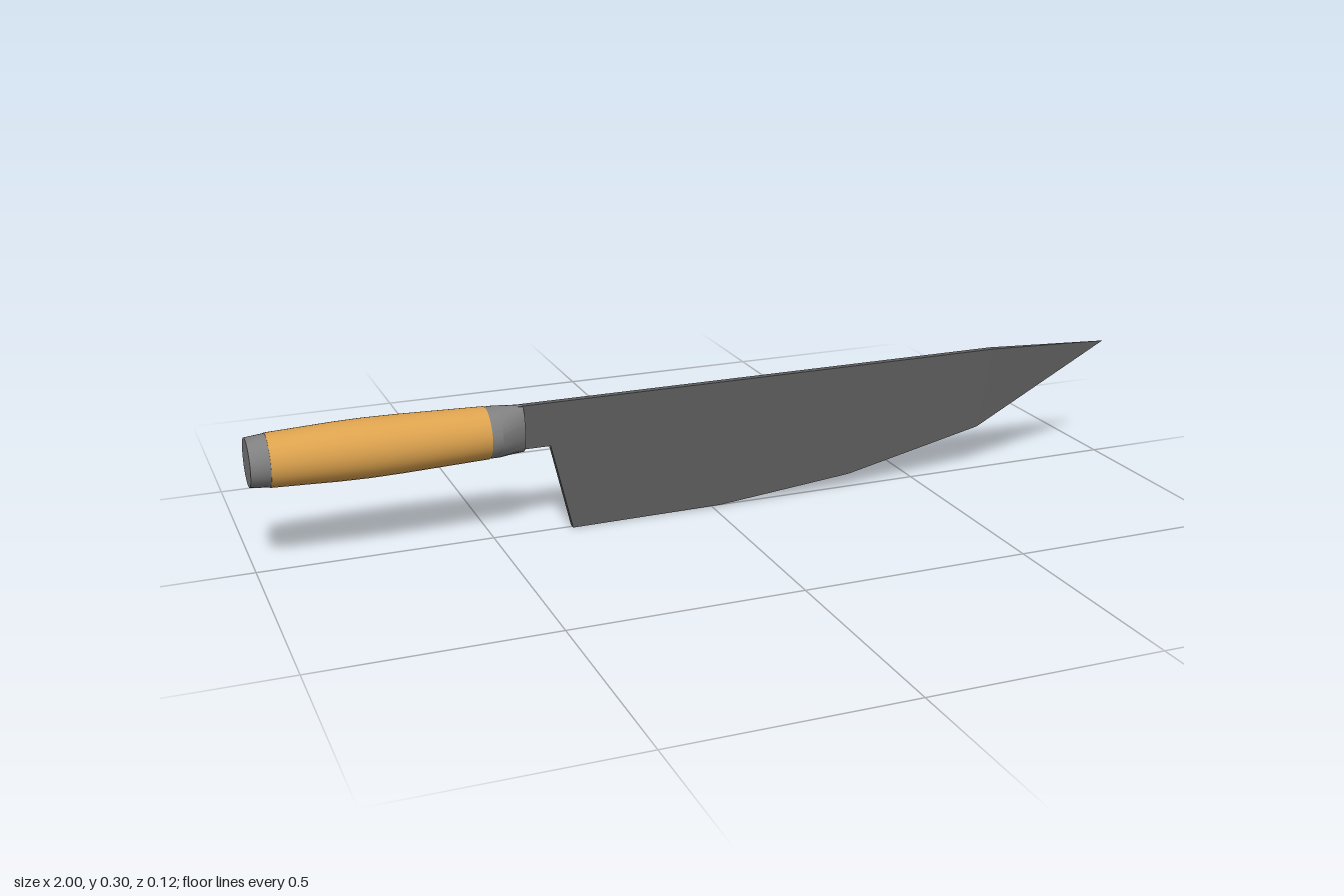
import * as THREE from 'three';
import { toCreasedNormals } from 'three/addons/utils/BufferGeometryUtils.js';

const AXIS_Y = 0.238; // height of the handle's centre line

const steel = new THREE.MeshStandardMaterial({ color: 0x808080 });
const darkSteel = new THREE.MeshStandardMaterial({ color: 0x5c5c5c });
const wood = new THREE.MeshStandardMaterial({ color: 0xdca24e });

function addMesh(group, name, geometry, material) {
  const mesh = new THREE.Mesh(geometry, material);
  mesh.name = name;
  group.add(mesh);
  return mesh;
}

// Move each vertex by a rule that returns its new z
function reshapeZ(geometry, rule) {
  const p = geometry.attributes.position;
  for (let i = 0; i < p.count; i++) p.setZ(i, rule(p.getX(i), p.getZ(i)));
  return geometry;
}

// Round section along x; profile entries are [x, radius]
function turned(profile) {
  const points = profile.map(([x, r]) => new THREE.Vector2(r, x));
  return new THREE.LatheGeometry(points, 32).rotateZ(-Math.PI / 2).translate(0, AXIS_Y, 0);
}

export function createModel() {
  const knife = new THREE.Group();
  knife.name = 'chefKnife';

  // Blade: flat plate with a faceted cutting edge, thinning towards the tip
  const outline = [
    [-0.44, 0.193], [-0.37, 0.193], [-0.325, 0], [0.02, 0.003], [0.335, 0.033],
    [0.665, 0.105], [1, 0.275], [0.7, 0.289], [-0.44, 0.289],
  ].map(([x, y]) => new THREE.Vector2(x, y));
  const half = 0.008;
  const blade = new THREE.ExtrudeGeometry(new THREE.Shape(outline), {
    depth: 2 * half, bevelEnabled: false,
  }).translate(0, 0, -half);
  reshapeZ(blade, (x, z) => (x > 0.9 ? z * 0.08 : z));
  blade.computeVertexNormals();
  addMesh(knife, 'blade', blade, darkSteel);

  // Wooden grip with a gentle swell
  const grip = turned([[-0.96, 0], [-0.96, 0.056], [-0.82, 0.0615], [-0.76, 0.0625],
    [-0.69, 0.0615], [-0.508, 0.056], [-0.508, 0]]);
  addMesh(knife, 'grip', toCreasedNormals(grip, 0.5), wood);

  // End cap
  const cap = turned([[-1, 0], [-1, 0.051], [-0.96, 0.055], [-0.96, 0]]);
  addMesh(knife, 'endCap', toCreasedNormals(cap, 0.5), steel);

  // Ferrule: round at the grip, pinched to a narrow oval at the blade
  const ferrule = turned([[-0.508, 0], [-0.508, 0.055], [-0.485, 0.055], [-0.428, 0.052], [-0.428, 0]]);
  reshapeZ(ferrule, (x, z) => (x > -0.45 ? z * 0.44 : z));
  addMesh(knife, 'ferrule', toCreasedNormals(ferrule, 0.5), steel);

  return knife;
}
